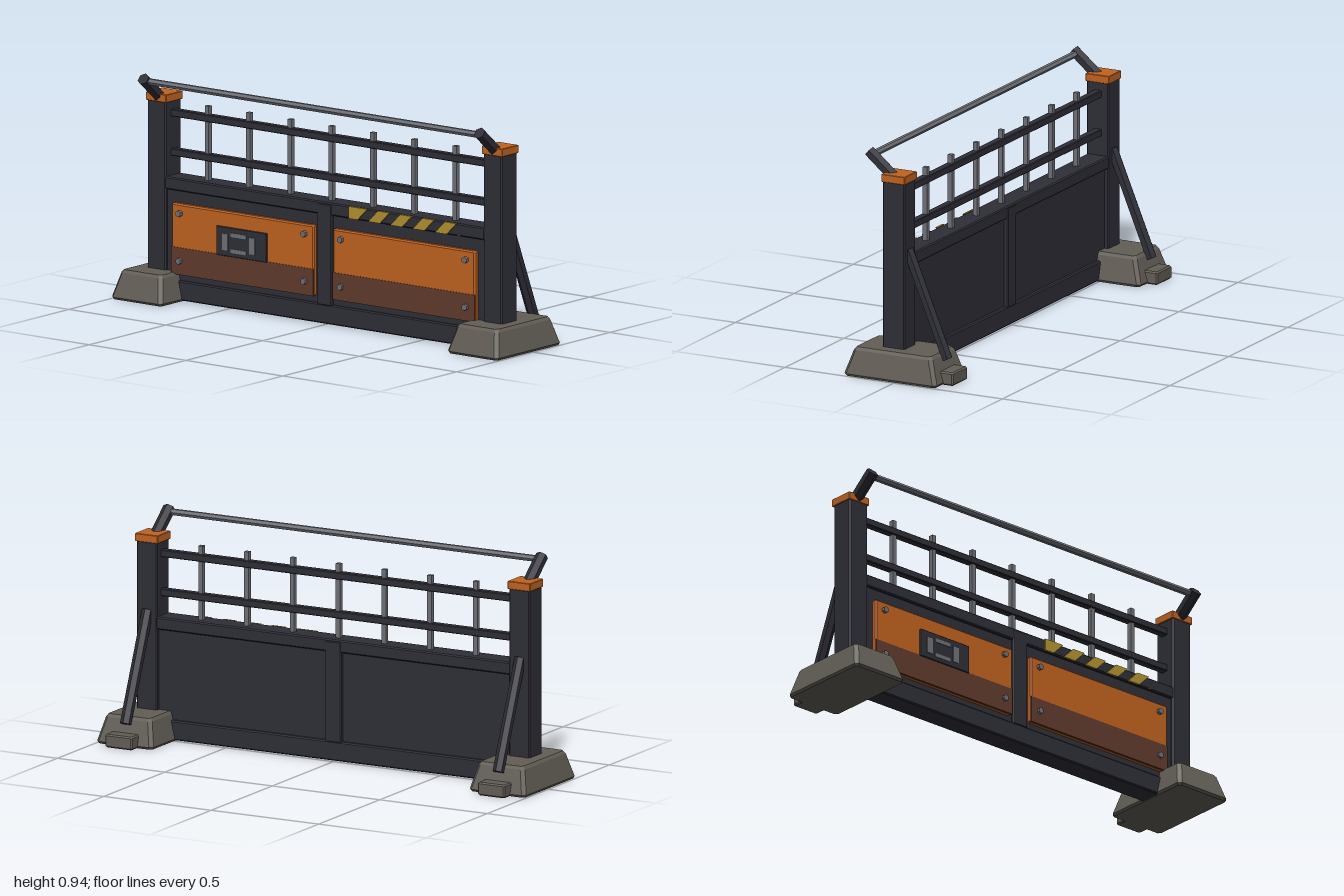
import * as THREE from 'three';

const mat = (name, color) => {
  const m = new THREE.MeshStandardMaterial({ color });
  m.name = name;
  return m;
};

// Stacked chamfered rectangles [y, width, depth, corner], closed at both ends
function loft(sections) {
  const rings = sections.map(([y, w, d, c]) => {
    const a = w / 2, b = d / 2;
    return [[a, b - c], [a - c, b], [c - a, b], [-a, b - c], [-a, c - b], [c - a, -b], [a - c, -b], [a, c - b]]
      .map(([x, z]) => [x, y, z]);
  });
  const pos = [];
  const tri = (...p) => p.forEach(v => pos.push(...v));
  for (let r = 0; r + 1 < rings.length; r++) {
    for (let i = 0; i < 8; i++) {
      const j = (i + 1) % 8, lo = rings[r], hi = rings[r + 1];
      tri(lo[i], hi[i], hi[j]);
      tri(lo[i], hi[j], lo[j]);
    }
  }
  const bottom = rings[0], top = rings[rings.length - 1];
  for (let i = 1; i < 7; i++) {
    tri(bottom[0], bottom[i], bottom[i + 1]);
    tri(top[0], top[i + 1], top[i]);
  }
  const g = new THREE.BufferGeometry();
  g.setAttribute('position', new THREE.Float32BufferAttribute(pos, 3));
  g.computeVertexNormals();
  return g;
}

// Box with small chamfers on every edge
const bevelBox = (w, h, d, b) => loft([
  [-h / 2, w - 2 * b, d - 2 * b, b * 0.5], [-h / 2 + b, w, d, b],
  [h / 2 - b, w, d, b], [h / 2, w - 2 * b, d - 2 * b, b * 0.5],
]);

export function createModel() {
  const dark = mat('dark painted steel', 0x2e2e37);
  const orange = mat('orange paint', 0xc0621f);
  const brown = mat('grimy brown', 0x603b2d);
  const concrete = mat('concrete', 0x625e56);
  const steel = mat('bare steel', 0x6e7177);
  const yellow = mat('hazard yellow', 0xb3932d);

  const model = new THREE.Group();
  const add = (name, geo, material, x = 0, y = 0, z = 0) => {
    const mesh = new THREE.Mesh(geo, material);
    mesh.name = name;
    mesh.position.set(x, y, z);
    model.add(mesh);
    return mesh;
  };
  // Box given by its limits on each axis
  const block = (name, material, [x0, x1], [y0, y1], [z0, z1], bevel = 0) => {
    const s = [x1 - x0, y1 - y0, z1 - z0];
    return add(name, bevel ? bevelBox(...s, bevel) : new THREE.BoxGeometry(...s), material,
      (x0 + x1) / 2, (y0 + y1) / 2, (z0 + z1) / 2);
  };
  // Six-sided bar between two points
  const hexBar = (name, material, from, to, radius) => {
    const a = new THREE.Vector3(...from), b = new THREE.Vector3(...to);
    const geo = new THREE.CylinderGeometry(radius, radius, a.distanceTo(b), 6).toNonIndexed();
    geo.computeVertexNormals();
    const mesh = add(name, geo, material);
    mesh.position.copy(a).add(b).multiplyScalar(0.5);
    mesh.quaternion.setFromUnitVectors(new THREE.Vector3(0, 1, 0), b.sub(a).normalize());
    return mesh;
  };

  // End supports: foot, heel, post, cap, arm and rear brace
  for (const [side, s] of [['left', 1], ['right', -1]]) {
    const x = 0.867 * s;
    add(side + 'Foot', loft([
      [0, 0.25, 0.41, 0.01], [0.01, 0.262, 0.425, 0.014],
      [0.108, 0.214, 0.362, 0.014], [0.12, 0.195, 0.34, 0.01],
    ]), concrete, x, 0, 0.022);
    block(side + 'FootHeel', concrete, [x - 0.063, x + 0.063], [0, 0.055], [-0.235, -0.13], 0.006);
    block(side + 'Post', dark, [x - 0.048, x + 0.048], [0.08, 0.82], [-0.003, 0.098], 0.005);
    block(side + 'PostCap', orange, [x - 0.053, x + 0.053], [0.812, 0.845], [-0.007, 0.101], 0.002);
    hexBar(side + 'Arm', dark, [x, 0.822, 0.068], [x, 0.918, 0.183], 0.026);
    hexBar(side + 'Brace', dark, [x, 0.53, 0.006], [x, 0.092, -0.175], 0.0235);
  }
  hexBar('topRail', steel, [-0.87, 0.907, 0.168], [0.87, 0.907, 0.168], 0.014);

  // Lower frame and recessed backing
  block('frameTopBeam', dark, [-0.825, 0.825], [0.455, 0.507], [-0.002, 0.097], 0.005);
  block('frameBottomBeam', dark, [-0.825, 0.825], [0.004, 0.085], [-0.002, 0.097], 0.005);
  block('frameCentrePost', dark, [-0.037, 0.037], [0.08, 0.5], [-0.004, 0.1], 0.004);
  block('backingSheet', dark, [-0.825, 0.825], [0.075, 0.465], [0.015, 0.085]);

  // Upper open fence
  for (const y of [0.603, 0.765]) {
    block('fenceRail', dark, [-0.825, 0.825], [y - 0.015, y + 0.015], [0.03, 0.063], 0.003);
  }
  for (let i = -3; i <= 3; i++) {
    const x = i * 0.213;
    block('fenceUpright', steel, [x - 0.01, x + 0.01], [0.5, 0.815], [0.037, 0.057]);
  }

  // Painted front panels with dirty lower bands and corner bolts
  for (const s of [-1, 1]) {
    const x = 0.416 * s;
    block('frontPanel', orange, [x - 0.367, x + 0.367], [0.112, 0.405], [0.08, 0.106], 0.006);
    block('panelGrimeBand', brown, [x - 0.366, x + 0.366], [0.113, 0.225], [0.1, 0.1085]);
    for (const bx of [-0.322, 0.322]) {
      for (const by of [0.17, 0.366]) {
        hexBar('panelBolt', steel, [x + bx, by, 0.1], [x + bx, by, 0.12], 0.0135);
      }
    }
  }

  // Control plate with four raised bars
  block('controlPlate', dark, [-0.547, -0.287], [0.222, 0.342], [0.1, 0.113], 0.002);
  for (const s of [-1, 1]) {
    const x = -0.43 + 0.07 * s, y = 0.28 + 0.033 * s;
    block('controlSideBar', steel, [x - 0.015, x + 0.015], [0.246, 0.314], [0.11, 0.116]);
    block('controlCrossBar', steel, [-0.47, -0.39], [y - 0.008, y + 0.008], [0.11, 0.116]);
  }

  // Slanted hazard stripes on the top beam
  const y0 = 0.457, y1 = 0.507, left = 0.13, right = 0.7;
  for (let k = 0; k <= 5; k++) {
    const start = 0.115 + 0.115 * k, end = 0.175 + 0.115 * k;
    const corners = k === 0
      ? [[left, y0], [end, y0], [end + 0.05, y1], [left, y1]]
      : k === 5
        ? [[start, y0], [right, y0], [right, y0 + right - start]]
        : [[start, y0], [end, y0], [end + 0.05, y1], [start + 0.05, y1]];
    const shape = new THREE.Shape(corners.map(([x, y]) => new THREE.Vector2(x, y)));
    add('hazardStripe', new THREE.ExtrudeGeometry(shape, { depth: 0.008, bevelEnabled: false }), yellow, 0, 0, 0.096);
  }

  return model;
}
